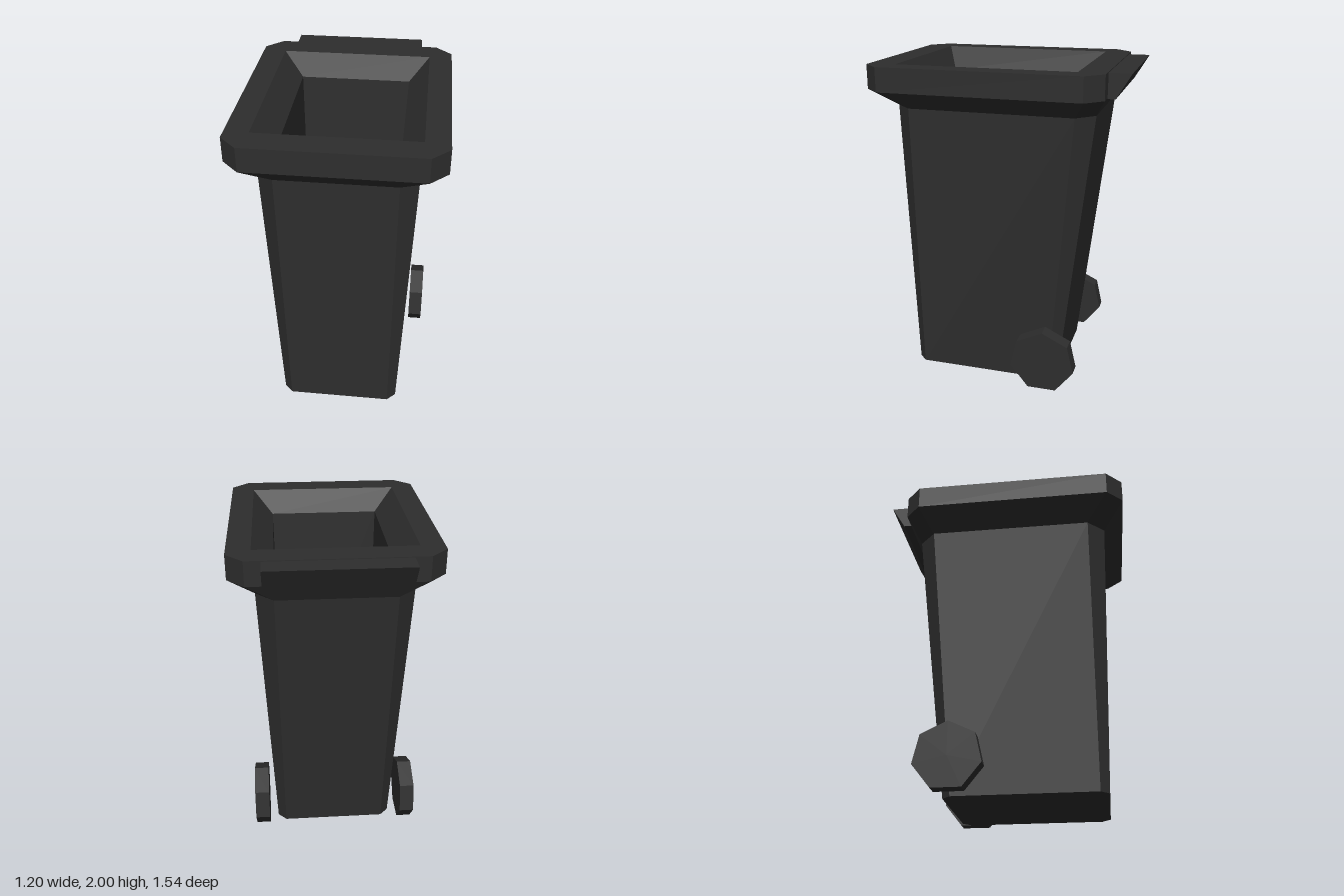
import * as THREE from 'three';

// Rectangle with cut corners at height y; a cut of 0 gives a plain rectangle
function ring(y, hx, front, back, cut) {
  return [
    [hx - cut, front], [hx, front - cut], [hx, back + cut], [hx - cut, back],
    [-hx + cut, back], [-hx, back + cut], [-hx, front - cut], [-hx + cut, front],
  ].map(([x, z]) => new THREE.Vector3(x, y, z));
}

// Skin successive rings, optionally closing the first or last one
function skin(rings, { capStart = false, capEnd = false } = {}) {
  const pos = [];
  const tri = (a, b, c) => {
    const area = b.clone().sub(a).cross(c.clone().sub(a)).length();
    if (area > 1e-7) for (const p of [a, b, c]) pos.push(p.x, p.y, p.z);
  };
  for (let r = 0; r < rings.length - 1; r++) {
    const lo = rings[r], hi = rings[r + 1];
    for (let i = 0; i < 8; i++) {
      const j = (i + 1) % 8;
      tri(lo[i], lo[j], hi[j]);
      tri(lo[i], hi[j], hi[i]);
    }
  }
  const last = rings[rings.length - 1];
  for (let i = 1; i < 7; i++) {
    if (capStart) tri(rings[0][0], rings[0][i + 1], rings[0][i]);
    if (capEnd) tri(last[0], last[i], last[i + 1]);
  }
  const g = new THREE.BufferGeometry();
  g.setAttribute('position', new THREE.Float32BufferAttribute(pos, 3));
  g.computeVertexNormals();
  return g;
}

export function createModel() {
  const group = new THREE.Group();
  const plastic = new THREE.MeshStandardMaterial({ color: 0x2e2e2e, flatShading: true });
  plastic.name = 'charcoal plastic';
  const add = (name, geometry) => {
    const m = new THREE.Mesh(geometry, plastic);
    m.name = name;
    group.add(m);
    return m;
  };

  const neck = ring(1.74, 0.45, 0.645, -0.572, 0.105);
  const mouth = ring(2, 0.46, 0.605, -0.48, 0);

  // Tapered body with a closed underside
  add('body', skin([ring(0, 0.375, 0.587, -0.367, 0.052), neck], { capStart: true }));

  // Flared rim, vertical band and flat top
  add('rim', skin([
    neck,
    ring(1.855, 0.598, 0.77, -0.64, 0.1),
    ring(2, 0.598, 0.77, -0.64, 0.1),
    mouth,
  ]));

  // Hollow inside: sloping lip, walls and floor
  add('interior', skin([
    mouth,
    ring(1.86, 0.34, 0.53, -0.408, 0),
    ring(0.08, 0.315, 0.447, -0.325, 0),
  ], { capEnd: true }));

  // Wedge handle behind the rim, profile drawn as (-z, y)
  const profile = new THREE.Shape([
    [0.635, 1.85], [0.685, 1.85], [0.772, 1.995], [0.635, 1.995],
  ].map(([a, b]) => new THREE.Vector2(a, b)));
  const handle = new THREE.ExtrudeGeometry(profile, { depth: 0.81, bevelEnabled: false });
  handle.translate(0, 0, -0.405).rotateY(Math.PI / 2);
  add('handle', handle);

  // Seven-sided wheels, one point up
  for (const side of [1, -1]) {
    const wheel = new THREE.CylinderGeometry(0.205, 0.205, 0.09, 7);
    wheel.rotateY(Math.PI / 2).rotateZ(Math.PI / 2);
    // turn so that a corner points straight up
    const p = wheel.attributes.position;
    const top = Math.atan2(p.getZ(0), p.getY(0));
    wheel.rotateX(-top);
    const m = add(side > 0 ? 'leftWheel' : 'rightWheel', wheel);
    m.position.set(side * 0.474, 0.198, -0.31);
  }
  return group;
}
